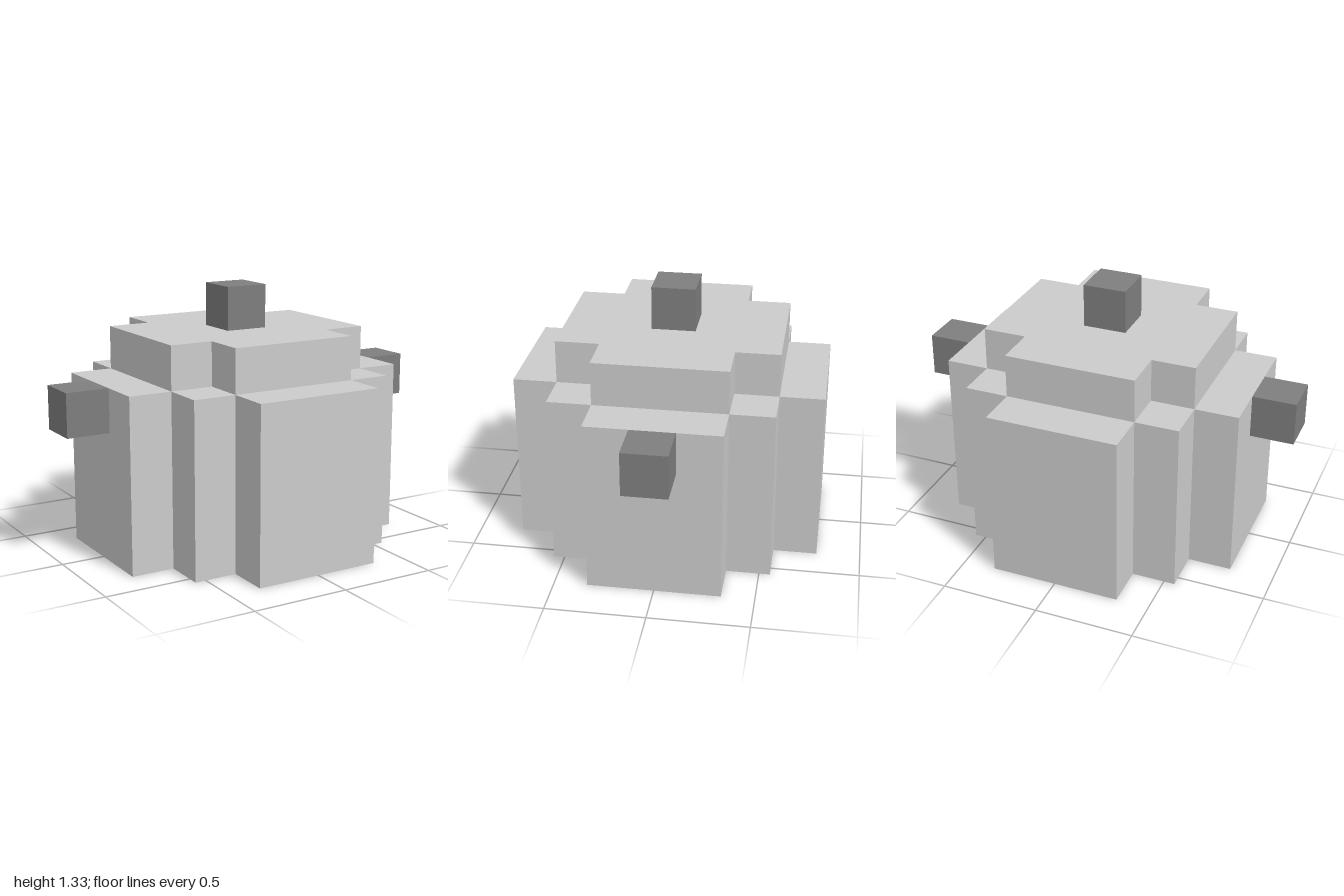
import * as THREE from 'three';

const U = 2 / 9; // one block

// Prism with a stepped outline; corners are the (x, z) points of one quadrant, in blocks
function steppedPrism(corners, bottom, height) {
  const mirrorX = ([x, z]) => [-x, z];
  const half = [...corners, ...corners.map(mirrorX).reverse()];
  const outline = [...half, ...half.map(([x, z]) => [-x, -z])];
  const shape = new THREE.Shape(outline.map(([x, z]) => new THREE.Vector2(x * U, z * U)));
  const geometry = new THREE.ExtrudeGeometry(shape, { depth: height * U, bevelEnabled: false });
  return geometry.rotateX(-Math.PI / 2).translate(0, bottom * U, 0);
}

export function createModel() {
  const group = new THREE.Group();
  const potMaterial = new THREE.MeshStandardMaterial({ color: 0xcccccc, flatShading: true });
  const gripMaterial = new THREE.MeshStandardMaterial({ color: 0x7e7e7e, flatShading: true });

  const add = (name, geometry, material) => {
    const mesh = new THREE.Mesh(geometry, material);
    mesh.name = name;
    group.add(mesh);
    return mesh;
  };

  // Pot body: blocky round with two steps at each corner
  const bodyCorners = [[3.5, 1.5], [2.5, 1.5], [2.5, 2.5], [1.5, 2.5], [1.5, 3.5]];
  add('body', steppedPrism(bodyCorners, 0, 4), potMaterial);

  // Lid: a smaller cross on top
  const lidCorners = [[2.5, 1.5], [1.5, 1.5], [1.5, 2.5]];
  add('lid', steppedPrism(lidCorners, 4, 1), potMaterial);

  // Knob and side handles: single cubes
  const cube = new THREE.BoxGeometry(U, U, U);
  add('knob', cube, gripMaterial).position.y = 5.5 * U;
  for (const [name, side] of [['leftHandle', 1], ['rightHandle', -1]]) {
    add(name, cube, gripMaterial).position.set(side * 4 * U, 3.5 * U, 0);
  }

  return group;
}
